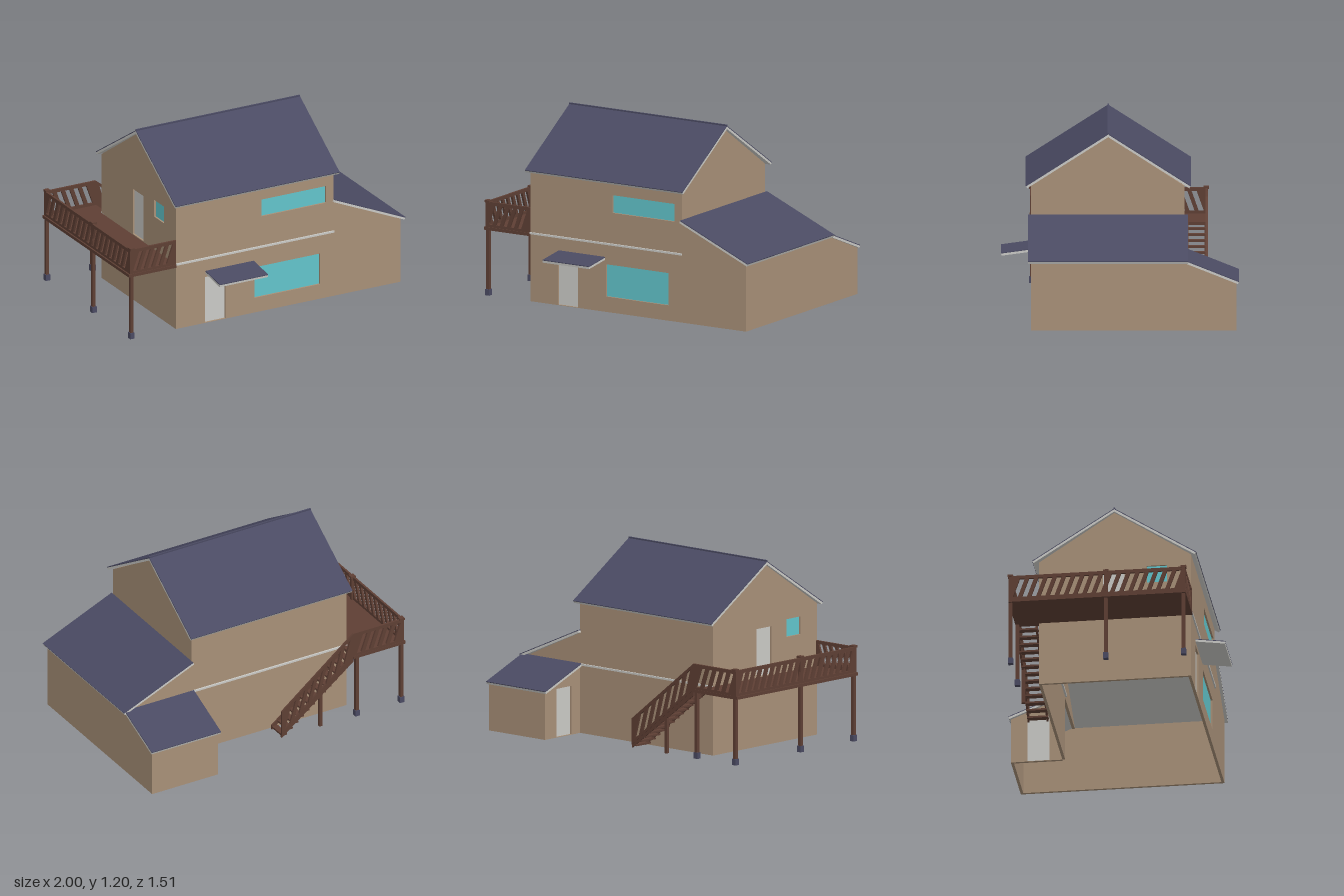
import * as THREE from 'three';

const mat = (name, color) => Object.assign(new THREE.MeshStandardMaterial({ color }), { name });

export function createModel() {
  const house = new THREE.Group();
  house.name = 'house';
  const wallMat = mat('tan siding', 0xa89078);
  const slate = mat('slate roofing', 0x4a4a62);
  const trim = mat('pale trim', 0xcacac6);
  const glass = mat('window glass', 0x62c4cb);
  const wood = mat('brown timber', 0x5e3f34);

  const add = (name, geo, m, parent = house) => {
    const mesh = new THREE.Mesh(geo, m);
    mesh.name = name;
    parent.add(mesh);
    return mesh;
  };
  // Box given by its low and high corners
  const box = (name, m, [x0, y0, z0], [x1, y1, z1], parent = house) => {
    const mesh = add(name, new THREE.BoxGeometry(x1 - x0, y1 - y0, z1 - z0), m, parent);
    mesh.position.set((x0 + x1) / 2, (y0 + y1) / 2, (z0 + z1) / 2);
    return mesh;
  };
  const outline = (pts) => pts.map(([x, y]) => new THREE.Vector2(x, y));

  // Wall drawn in its own plane, thickened inwards, with recessed doors and windows
  const T = 0.018;
  function wall(name, yaw, offset, pts, openings = []) {
    const g = new THREE.Group();
    g.name = name;
    g.rotation.y = yaw;
    house.add(g);
    const shape = new THREE.Shape(outline(pts));
    for (const [kind, x0, x1, y0, y1] of openings) {
      shape.holes.push(new THREE.Path(outline([[x0, y0], [x0, y1], [x1, y1], [x1, y0]])));
      box(kind, kind === 'door' ? trim : glass,
        [x0, y0, offset - T], [x1, y1, offset - T + 0.006], g);
    }
    const geo = new THREE.ExtrudeGeometry(shape, { depth: T, bevelEnabled: false });
    geo.translate(0, 0, offset - T);
    add(name + 'Siding', geo, wallMat, g);
  }

  const FRONT = 0, RIGHT_SIDE = Math.PI, LEFT = Math.PI / 2, MINUS_X = -Math.PI / 2;
  const BACK = RIGHT_SIDE;

  // Front of house and side wing share one flush wall
  wall('frontWall', FRONT, 0.565,
    [[-0.655, 0], [0.975, 0], [0.975, 0.435], [0.49, 0.65], [0.49, 0.85], [-0.655, 0.85]],
    [['door', -0.445, -0.295, 0.003, 0.315],
      ['window', -0.085, 0.39, 0.1, 0.31],
      ['window', -0.035, 0.435, 0.65, 0.765]]);
  wall('wingSideWall', LEFT, 0.975,
    [[-0.565, 0], [0.74, 0], [0.74, 0.3], [0.41, 0.435], [-0.565, 0.435]]);
  wall('upperGableWall', LEFT, 0.49,
    [[-0.565, 0.645], [0.41, 0.645], [0.41, 0.85], [-0.075, 1.17], [-0.565, 0.85]]);
  wall('deckGableWall', MINUS_X, 0.655,
    [[-0.41, 0], [0.565, 0], [0.565, 0.85], [0.075, 1.17], [-0.41, 0.85]],
    [['door', 0, 0.14, 0.45, 0.76], ['window', 0.28, 0.41, 0.67, 0.785]]);
  wall('backWall', BACK, 0.41,
    [[-0.975, 0.43], [-0.49, 0.43], [-0.49, 0], [0.655, 0], [0.655, 0.85], [-0.49, 0.85], [-0.49, 0.65]]);
  wall('extensionBackWall', BACK, 0.74,
    [[-0.975, 0], [-0.49, 0], [-0.49, 0.3], [-0.975, 0.3]]);
  wall('extensionSideWall', MINUS_X, -0.49,
    [[-0.74, 0], [-0.41, 0], [-0.41, 0.435], [-0.74, 0.3]],
    [['door', -0.634, -0.493, 0.003, 0.315]]);

  // Belt course at first-floor level
  box('frontBelt', trim, [-0.655, 0.438, 0.535], [0.49, 0.45, 0.575]);
  box('backBelt', trim, [-0.655, 0.438, -0.42], [0.49, 0.45, -0.38]);

  // Roof slope: pale board below, slate above; points are [run, height]
  function roof(name, yaw, [r0, y0], [r1, y1], across, width) {
    const turn = new THREE.Group();
    turn.name = name;
    turn.rotation.y = yaw;
    house.add(turn);
    const tilt = new THREE.Group();
    tilt.name = name + 'Slope';
    tilt.position.set((r0 + r1) / 2, (y0 + y1) / 2, across);
    tilt.rotation.z = Math.atan2(y1 - y0, r1 - r0);
    turn.add(tilt);
    const h = Math.hypot(r1 - r0, y1 - y0) / 2, w = width / 2;
    box(name + 'Board', trim, [-h, -0.019, -w], [h, -0.005, w], tilt);
    box(name + 'Slate', slate, [-h, -0.005, -w], [h, 0, w], tilt);
  }
  roof('mainRoofFront', -Math.PI / 2, [0.075, 1.192], [0.6, 0.857], 0.08, 1.19);
  roof('mainRoofBack', Math.PI / 2, [-0.075, 1.192], [0.45, 0.857], -0.08, 1.19);
  roof('wingRoof', 0, [0.49, 0.668], [1.0, 0.447], 0.077, 1.015);
  roof('extensionRoof', Math.PI / 2, [0.415, 0.452], [0.755, 0.317], 0.73, 0.51);
  roof('porchRoof', -Math.PI / 2, [0.565, 0.357], [0.755, 0.331], 0.265, 0.35);
  box('ridgeCap', slate, [-0.675, 1.184, 0.07], [0.515, 1.198, 0.08]);

  // Deck floor wrapping the back corner
  box('deckFloor', wood, [-1.0, 0.425, -0.56], [-0.655, 0.445, 0.575]);
  box('deckLanding', wood, [-0.655, 0.425, -0.56], [-0.62, 0.445, -0.41]);

  // Posts on slate-coloured feet
  const post = (x, z, top) => {
    box('deckPost', wood, [x - 0.011, 0.03, z - 0.011], [x + 0.011, top, z + 0.011]);
    box('postFoot', slate, [x - 0.016, 0, z - 0.016], [x + 0.016, 0.04, z + 0.016]);
  };
  for (const z of [-0.548, 0.062, 0.56]) {
    post(-0.975, z, 0.615);
    box('postCap', wood, [-0.992, 0.605, z - 0.017], [-0.958, 0.62, z + 0.017]);
  }
  post(-0.645, -0.548, 0.43);
  box('stairPost', wood, [-0.391, 0, -0.556], [-0.369, 0.27, -0.534]);

  // Railing panel with slanted slats, sheared upwards by rise
  function railing(name, [x, y, z], yaw, length, rise, gaps) {
    const at = (u, v) => [u, v + rise * u / length];
    const panel = (u0, u1, v0, v1, lean) =>
      outline([at(u0, v0), at(u1, v0), at(u1 + lean, v1), at(u0 + lean, v1)]);
    const shape = new THREE.Shape(panel(0, length, 0, 0.17, 0));
    const lean = 0.045, pitch = (length - lean - 0.02) / gaps;
    for (let i = 0; i < gaps; i++) {
      const u = 0.01 + (i + 0.22) * pitch;
      shape.holes.push(new THREE.Path(panel(u, u + pitch * 0.56, 0.022, 0.148, lean)));
    }
    const mesh = add(name, new THREE.ExtrudeGeometry(shape, { depth: 0.014, bevelEnabled: false }), wood);
    mesh.position.set(x, y, z);
    mesh.rotation.y = yaw;
  }
  railing('frontRailing', [-0.99, 0.44, 0.556], 0, 0.335, 0, 5);
  railing('sideRailing', [-0.976, 0.44, -0.556], -Math.PI / 2, 1.126, 0, 18);
  railing('backRailing', [-0.62, 0.44, -0.544], Math.PI, 0.37, 0, 5);
  railing('stairRailing', [-0.09, 0.02, -0.544], Math.PI, 0.53, 0.42, 7);

  // Open stair running down along the back wall
  const steps = 13, run = 0.53 / steps, drop = 0.42 / steps;
  for (let i = 0; i < steps; i++) {
    const x = -0.62 + i * run, y = 0.445 - (i + 1) * drop;
    box('stairTread', wood, [x, y - 0.012, -0.555], [x + run, y, -0.42]);
  }
  for (const z of [-0.555, -0.435]) {
    const side = new THREE.Shape(outline([[-0.62, 0.405], [-0.09, -0.0], [-0.09, 0.03], [-0.62, 0.445]]));
    const geo = new THREE.ExtrudeGeometry(side, { depth: 0.012, bevelEnabled: false });
    add('stairStringer', geo, wood).position.z = z;
  }
  return house;
}
